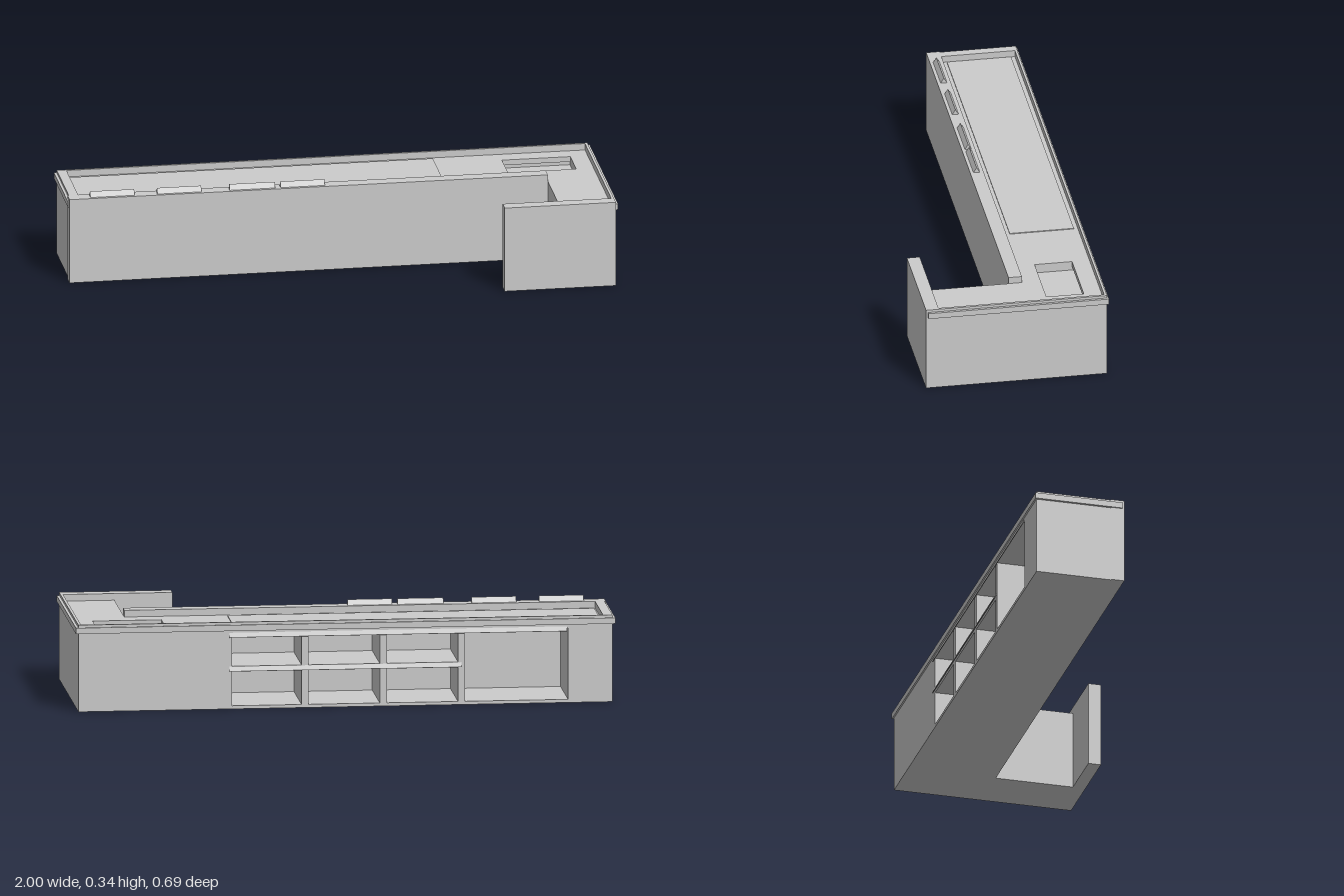
import * as THREE from 'three';

const material = new THREE.MeshStandardMaterial({ color: 0xcccccc, flatShading: true });

export function createModel() {
  const model = new THREE.Group();
  model.name = 'serviceCounter';

  const add = (name, geometry) => {
    const mesh = new THREE.Mesh(geometry, material);
    mesh.name = name;
    model.add(mesh);
    return mesh;
  };
  // Box given by its lower and upper limits on each axis
  const box = (name, x0, x1, y0, y1, z0, z1) => {
    const mesh = add(name, new THREE.BoxGeometry(x1 - x0, y1 - y0, z1 - z0));
    mesh.position.set((x0 + x1) / 2, (y0 + y1) / 2, (z0 + z1) / 2);
    return mesh;
  };

  const top = 0.325, deck = 0.3, under = 0.28, back = -0.334;

  // Outer walls, standing above the worktop as a lip
  box('frontWall', -0.995, 0.79, 0, top, -0.05, 0);
  box('rightEndWall', -0.99, -0.955, 0, top, back, -0.05);
  box('returnFrontPanel', 0.575, 0.99, 0, top, 0.295, 0.343);
  box('backLip', -0.955, 0.99, under, top, back, -0.325);
  box('leftLip', 0.98, 0.99, under, top, -0.325, 0.295);

  // Solid cabinets at both ends and under the return
  box('rightCabinet', -0.955, -0.825, 0, under, back, -0.05);
  box('leftCabinetBase', 0.42, 0.99, 0, 0.265, back, -0.05);
  box('leftCabinetBack', 0.42, 0.99, 0.265, under, back, -0.27);
  box('returnCabinet', 0.79, 0.99, 0, under, -0.05, 0.295);

  // Worktop in an L shape with an opening for the basin
  const plan = new THREE.Shape([
    [-0.955, -0.325], [0.98, -0.325], [0.98, 0.295], [0.79, 0.295], [0.79, -0.05], [-0.955, -0.05],
  ].map(([x, z]) => new THREE.Vector2(x, -z)));
  plan.holes.push(new THREE.Path([
    [0.66, -0.26], [0.66, -0.12], [0.915, -0.12], [0.915, -0.26],
  ].map(([x, z]) => new THREE.Vector2(x, -z))));
  const worktop = add('worktop', new THREE.ExtrudeGeometry(plan, { depth: deck - under, bevelEnabled: false }));
  worktop.rotation.x = -Math.PI / 2;
  worktop.position.y = under;
  box('worktopMat', -0.95, 0.41, deck, deck + 0.003, -0.31, -0.07);

  // Closing strips around the basin, below the worktop
  box('basinLeftSide', 0.915, 0.99, 0.265, under, -0.27, -0.05);
  box('basinRightSide', 0.42, 0.66, 0.265, under, -0.27, -0.05);
  box('basinFrontSide', 0.66, 0.915, 0.265, under, -0.12, -0.05);

  // Open shelving at the back
  box('shelfFloor', -0.825, 0.42, 0, 0.012, back, -0.05);
  box('shelfBack', -0.825, 0.42, 0.012, under, -0.07, -0.05);
  box('middleShelf', -0.425, 0.42, 0.14, 0.16, back, -0.07);
  for (const x of [0.15, -0.14, -0.43]) {
    box('shelfDivider', x - 0.013, x + 0.013, 0.012, under, back, -0.07);
  }

  // Tilted label strips on the shelf edges
  for (const [x0, x1, y] of [[-0.82, 0.43, 0.277], [-0.43, 0.43, 0.15]]) {
    const strip = box('labelStrip', x0, x1, y - 0.009, y + 0.009, -0.339, -0.336);
    strip.rotation.x = 0.4;
  }

  // Trim band around the upper edge
  box('backTrim', -1, 1, 0.293, 0.315, -0.34, back);
  box('leftTrim', 0.99, 1, 0.293, 0.315, back, 0.335);
  box('rightTrim', -1, -0.99, 0.293, 0.315, back, -0.007);

  // Tent-shaped signs along the front wall
  const tent = new THREE.Shape([
    new THREE.Vector2(-0.012, 0), new THREE.Vector2(0.012, 0), new THREE.Vector2(0, 0.02),
  ]);
  for (const [x0, x1] of [[-0.915, -0.75], [-0.665, -0.5], [-0.395, -0.225], [-0.205, -0.04]]) {
    const sign = add('tentSign', new THREE.ExtrudeGeometry(tent, { depth: x1 - x0, bevelEnabled: false }));
    sign.rotation.y = Math.PI / 2;
    sign.position.set(x0, top, -0.024);
  }
  return model;
}
